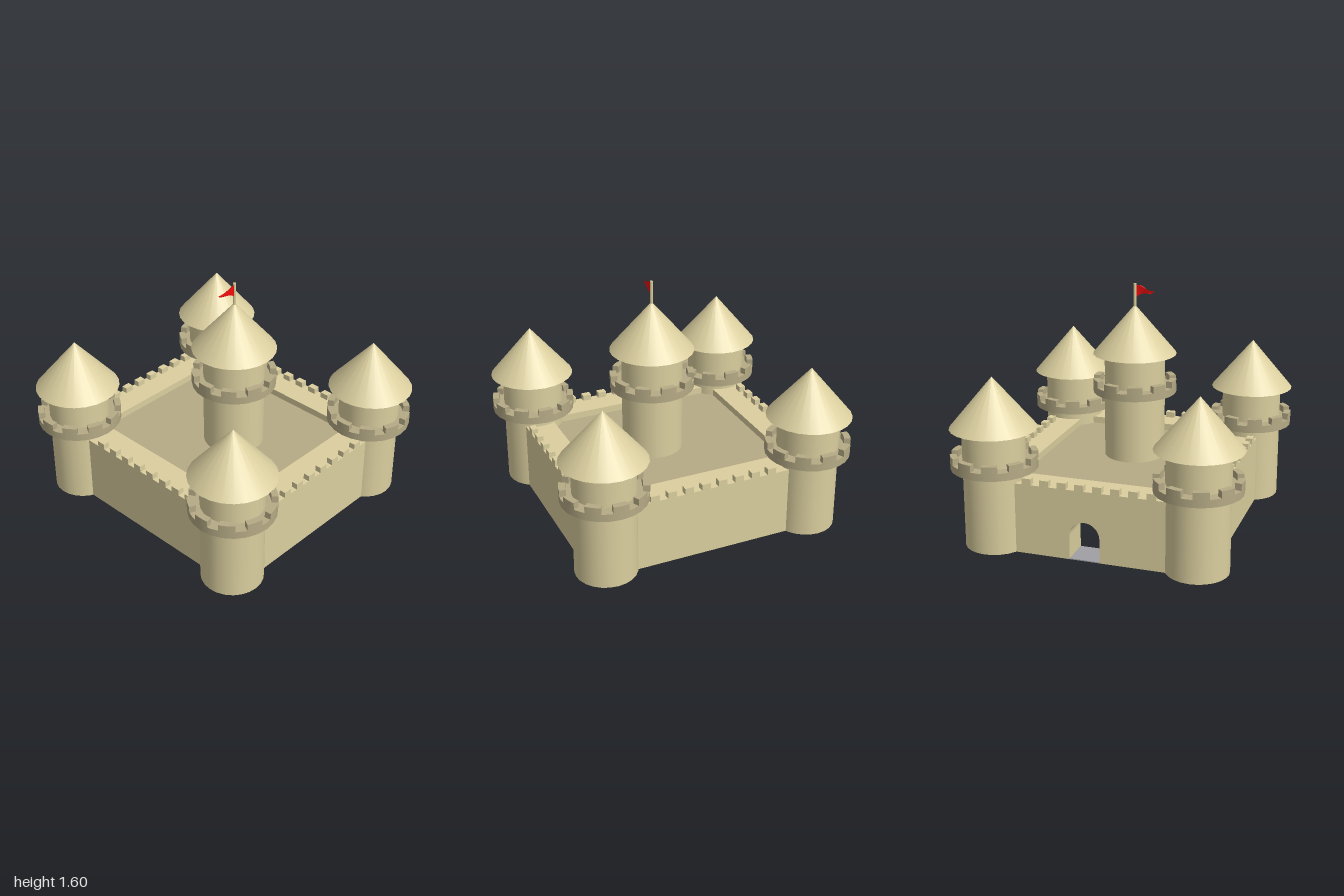
import * as THREE from 'three';

const sand = new THREE.MeshStandardMaterial({ color: 0xdbcf9f });
const darkSand = new THREE.MeshStandardMaterial({ color: 0xb6ab86 });
const red = new THREE.MeshStandardMaterial({ color: 0xee0c0c, side: THREE.DoubleSide });
const grey = new THREE.MeshStandardMaterial({ color: 0xa0a0a4 });

const WALL_H = 0.467, SIDES = 24;

function add(parent, name, geometry, material, x = 0, y = 0, z = 0) {
  const mesh = new THREE.Mesh(geometry, material);
  mesh.name = name;
  mesh.position.set(x, y, z);
  parent.add(mesh);
  return mesh;
}

// Box given by its lower and upper corners
function box(parent, name, material, a, b) {
  const size = b.map((v, i) => v - a[i]);
  const mid = b.map((v, i) => (v + a[i]) / 2);
  return add(parent, name, new THREE.BoxGeometry(...size), material, ...mid);
}

// Curved block: a slice of a ring, standing on y = 0
function ringBlock(inner, outer, height, angle) {
  const shape = new THREE.Shape();
  shape.absarc(0, 0, outer, -angle / 2, angle / 2, false);
  shape.absarc(0, 0, inner, angle / 2, -angle / 2, true);
  const g = new THREE.ExtrudeGeometry(shape, { depth: height, bevelEnabled: false, curveSegments: 3 });
  return g.rotateX(-Math.PI / 2);
}

// Round tower: shaft, battlement ring with merlons, conical roof
function tower(name, x, z, bottom, ringY, roofY, apexY) {
  const g = new THREE.Group();
  g.name = name;
  g.position.set(x, 0, z);
  const shaftH = roofY - bottom;
  add(g, 'shaft', new THREE.CylinderGeometry(0.203, 0.203, shaftH, SIDES), sand, 0, bottom + shaftH / 2, 0);
  add(g, 'battlementRing', new THREE.CylinderGeometry(0.28, 0.28, 0.05, SIDES), darkSand, 0, ringY + 0.025, 0);
  const count = 10;
  const merlon = ringBlock(0.237, 0.28, 0.045, (Math.PI * 2 / count) * 0.58);
  for (let i = 0; i < count; i++) {
    add(g, 'ringMerlon', merlon, darkSand, 0, ringY + 0.05, 0).rotation.y = (i / count) * Math.PI * 2;
  }
  const roofH = apexY - roofY;
  add(g, 'roof', new THREE.ConeGeometry(0.28, roofH, SIDES), sand, 0, roofY + roofH / 2, 0);
  return g;
}

// Back wall with an arched gateway cut through it
function gateWall() {
  const shape = new THREE.Shape();
  const doorX = 0.03, r = 0.1, spring = 0.16;
  shape.moveTo(-0.76, 0);
  shape.lineTo(doorX - r, 0);
  shape.lineTo(doorX - r, spring);
  shape.absarc(doorX, spring, r, Math.PI, 0, true);
  shape.lineTo(doorX + r, 0);
  shape.lineTo(0.76, 0);
  shape.lineTo(0.76, WALL_H);
  shape.lineTo(-0.76, WALL_H);
  shape.closePath();
  return new THREE.ExtrudeGeometry(shape, { depth: 0.2, bevelEnabled: false, curveSegments: 10 });
}

export function createModel() {
  const castle = new THREE.Group();
  castle.name = 'castle';

  // Curtain walls
  box(castle, 'frontWall', sand, [-0.76, 0, 0.63], [0.76, WALL_H, 0.83]);
  add(castle, 'backWall', gateWall(), sand, 0, 0, -0.81);
  for (const s of [-1, 1]) {
    box(castle, 'sideWall', sand, [s * 0.66 - 0.1, 0, -0.61], [s * 0.66 + 0.1, WALL_H, 0.63]);
  }
  box(castle, 'gateThreshold', grey, [-0.07, 0, -0.81], [0.13, 0.006, -0.61]);

  // Raised courtyard floor
  box(castle, 'courtyard', darkSand, [-0.56, 0.39, -0.61], [0.56, 0.42, 0.63]);

  // Merlons along the outer edges of the walls
  const top = WALL_H + 0.04;
  for (let i = 0; i < 8; i++) {
    const t = -0.405 + i * 0.117;
    box(castle, 'wallMerlon', sand, [t - 0.03, WALL_H, 0.787], [t + 0.03, top, 0.83]);
    box(castle, 'wallMerlon', sand, [t - 0.03, WALL_H, -0.81], [t + 0.03, top, -0.767]);
    for (const s of [-1, 1]) {
      box(castle, 'wallMerlon', sand, [s * 0.738 - 0.022, WALL_H, t - 0.03], [s * 0.738 + 0.022, top, t + 0.03]);
    }
  }

  // Corner towers and central keep
  for (const x of [-0.675, 0.672]) {
    for (const z of [-0.712, 0.715]) castle.add(tower('cornerTower', x, z, 0, 0.527, 0.79, 1.123));
  }
  const keep = tower('keep', -0.005, 0.097, 0.33, 0.868, 1.13, 1.46);
  castle.add(keep);

  // Flagpole and waving pennant
  add(keep, 'flagpole', new THREE.CylinderGeometry(0.01, 0.01, 0.16, 10), sand, 0, 1.52, 0);
  const pennant = new THREE.Shape();
  pennant.moveTo(-0.005, 1.587);
  pennant.bezierCurveTo(-0.06, 1.605, -0.06, 1.55, -0.14, 1.557);
  pennant.bezierCurveTo(-0.11, 1.515, -0.06, 1.565, -0.005, 1.505);
  pennant.closePath();
  const flag = new THREE.ShapeGeometry(pennant, 10);
  const p = flag.attributes.position;
  for (let i = 0; i < p.count; i++) p.setZ(i, 0.008 * Math.sin(-p.getX(i) * 40));
  flag.computeVertexNormals();
  add(keep, 'flag', flag, red);

  return castle;
}
